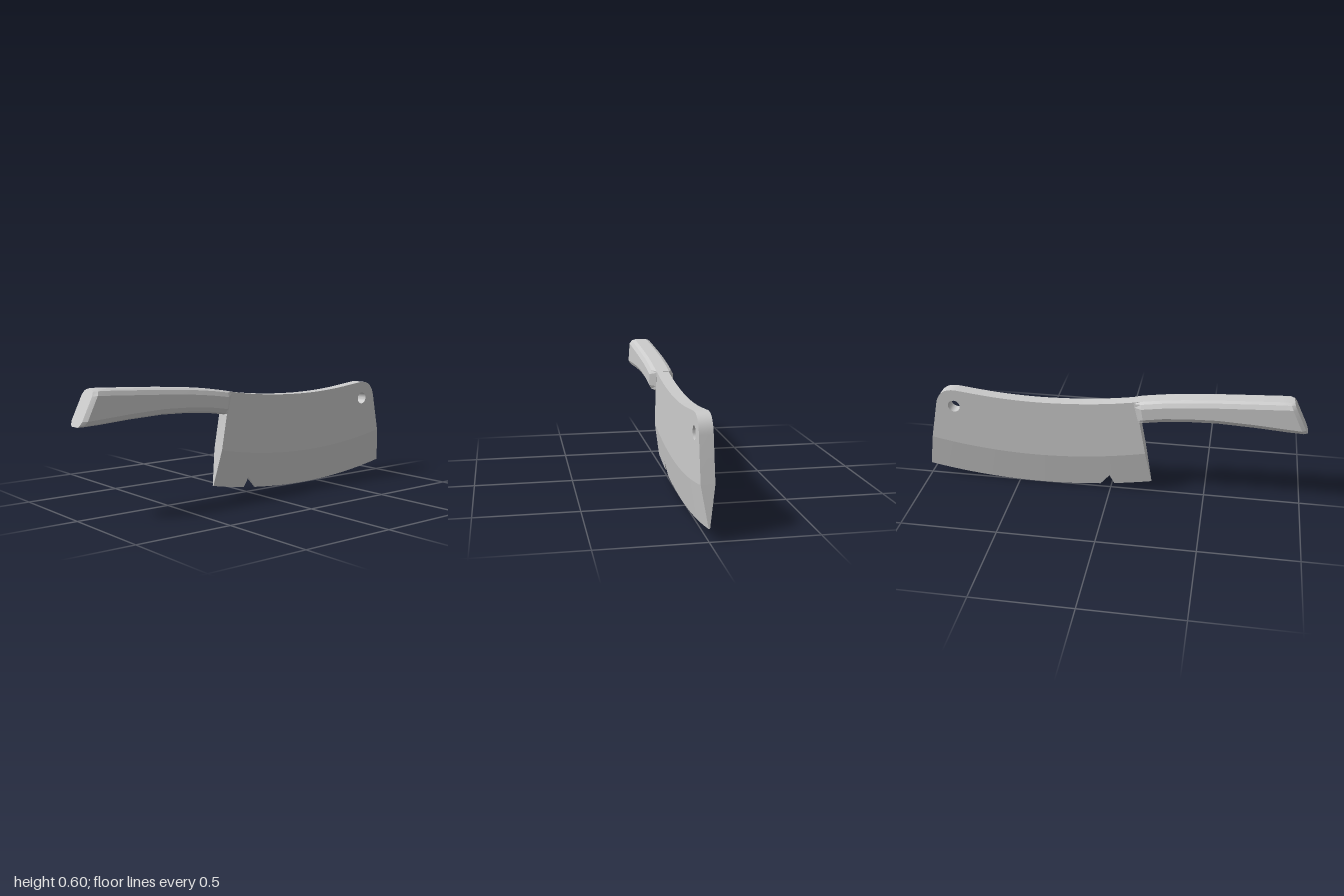
import * as THREE from 'three';
import { toCreasedNormals } from 'three/addons/utils/BufferGeometryUtils.js';

const HALF = 0.032;       // half thickness of the blade
const BEVEL = 0.185;      // height of the ground bevel

// Skin closed cross-sections (ordered along +x) and cap both ends.
function loft(sections, crease) {
  const n = sections[0].length;
  const pos = sections.flat().flatMap((p) => [p.x, p.y, p.z]);
  const index = [];
  for (let i = 0; i < sections.length - 1; i++) {
    for (let j = 0; j < n; j++) {
      const k = (j + 1) % n;
      const a = i * n + j, b = a + n, c = (i + 1) * n + k, d = i * n + k;
      index.push(a, b, c, a, c, d);
    }
  }
  const last = (sections.length - 1) * n;
  for (let j = 1; j < n - 1; j++) {
    index.push(0, j, j + 1, last, last + j + 1, last + j);
  }
  const geo = new THREE.BufferGeometry();
  geo.setAttribute('position', new THREE.Float32BufferAttribute(pos, 3));
  geo.setIndex(index);
  return toCreasedNormals(geo, crease);
}

// Curved cutting edge height at x
const edgeY = (x) => 0.06 * ((x - 0.39) / 0.61) ** 2;

// Columns along the cutting edge: [x, y], with a V notch near the heel
function edgePoints() {
  const xs = [-0.22, -0.15, -0.08, -0.02, 0.005, 0.055];
  for (let i = 1; i <= 18; i++) xs.push(0.055 + (0.945 * i) / 18);
  return xs.map((x) => [x, x === 0.005 ? 0.08 : edgeY(x)]);
}

// Line where the bevel meets the flat of the blade
const bevelPoint = (x) =>
  new THREE.Vector2(-0.186 + (1.152 * (x + 0.22)) / 1.22, edgeY(x) + BEVEL);

function bladeBody() {
  const top = new THREE.SplineCurve([
    [0.8, 0.531], [0.6, 0.509], [0.4, 0.5], [0.2, 0.505], [0.02, 0.52], [-0.12, 0.54],
  ].map((p) => new THREE.Vector2(...p)));
  const shape = new THREE.Shape(edgePoints().map(([x]) => bevelPoint(x)));
  shape.lineTo(0.925, 0.45);
  shape.bezierCurveTo(0.913, 0.51, 0.875, 0.543, 0.8, 0.531);
  top.getPoints(24).slice(1).forEach((p) => shape.lineTo(p.x, p.y));
  shape.lineTo(-0.145, 0.53);
  shape.lineTo(-0.153, 0.43);
  const hole = new THREE.Path();
  hole.absarc(0.83, 0.44, 0.032, 0, Math.PI * 2, true);
  shape.holes.push(hole);
  const geo = new THREE.ExtrudeGeometry(shape, { depth: HALF * 2, bevelEnabled: false, curveSegments: 12 });
  geo.translate(0, 0, -HALF);
  return toCreasedNormals(geo, 0.5);
}

function bladeBevel() {
  const sections = edgePoints().map(([x, y]) => {
    const b = bevelPoint(x);
    const z = THREE.MathUtils.lerp(0.003, HALF, (y - edgeY(x)) / BEVEL);
    return [
      new THREE.Vector3(x, y, z), new THREE.Vector3(b.x, b.y, HALF),
      new THREE.Vector3(b.x, b.y, -HALF), new THREE.Vector3(x, y, -z),
    ];
  });
  return loft(sections, 0.4);
}

function handleGeometry() {
  // Chamfer profile: [half width, inset from top or bottom]
  const chamfer = [[0.034, 0], [0.052, 0.008], [0.064, 0.03]];
  // Slanted stations: top x, top y, bottom x, bottom y
  const stations = [
    [-0.92, 0.603, -1, 0.437],
    [-0.9, 0.605, -0.98, 0.438],
    [-0.86, 0.605, -0.9, 0.441],
    [-0.72, 0.598, -0.74, 0.452],
    [-0.55, 0.589, -0.55, 0.46],
    [-0.38, 0.577, -0.4, 0.456],
    [-0.26, 0.564, -0.28, 0.446],
    [-0.16, 0.549, -0.178, 0.43],
    [-0.12, 0.541, -0.147, 0.429],
  ];
  const sections = stations.map(([tx, ty, bx, by], i) => {
    const top = new THREE.Vector3(tx, ty, 0);
    const bottom = new THREE.Vector3(bx, by, 0);
    const len = top.distanceTo(bottom);
    // The butt is slightly narrowed; the front chamfers down to the blade
    const width = (w) => (i === 0 ? w * 0.75 : i === stations.length - 1 ? HALF + 0.001 : w);
    const side = [
      ...chamfer.map(([w, d]) => bottom.clone().lerp(top, d / len).setZ(width(w))),
      ...chamfer.map(([w, d]) => top.clone().lerp(bottom, d / len).setZ(width(w))).reverse(),
    ];
    const mirrored = side.map((p) => new THREE.Vector3(p.x, p.y, -p.z)).reverse();
    return [...side, ...mirrored];
  });
  return loft(sections, 0.3);
}

export function createModel() {
  const group = new THREE.Group();
  group.name = 'cleaver';
  const material = new THREE.MeshStandardMaterial({ color: 0xcccccc });
  const add = (name, geometry, parent) => {
    const mesh = new THREE.Mesh(geometry, material);
    mesh.name = name;
    parent.add(mesh);
  };
  const blade = new THREE.Group();
  blade.name = 'blade';
  group.add(blade);
  add('bladeBody', bladeBody(), blade);
  add('bladeBevel', bladeBevel(), blade);
  add('handle', handleGeometry(), group);
  return group;
}
